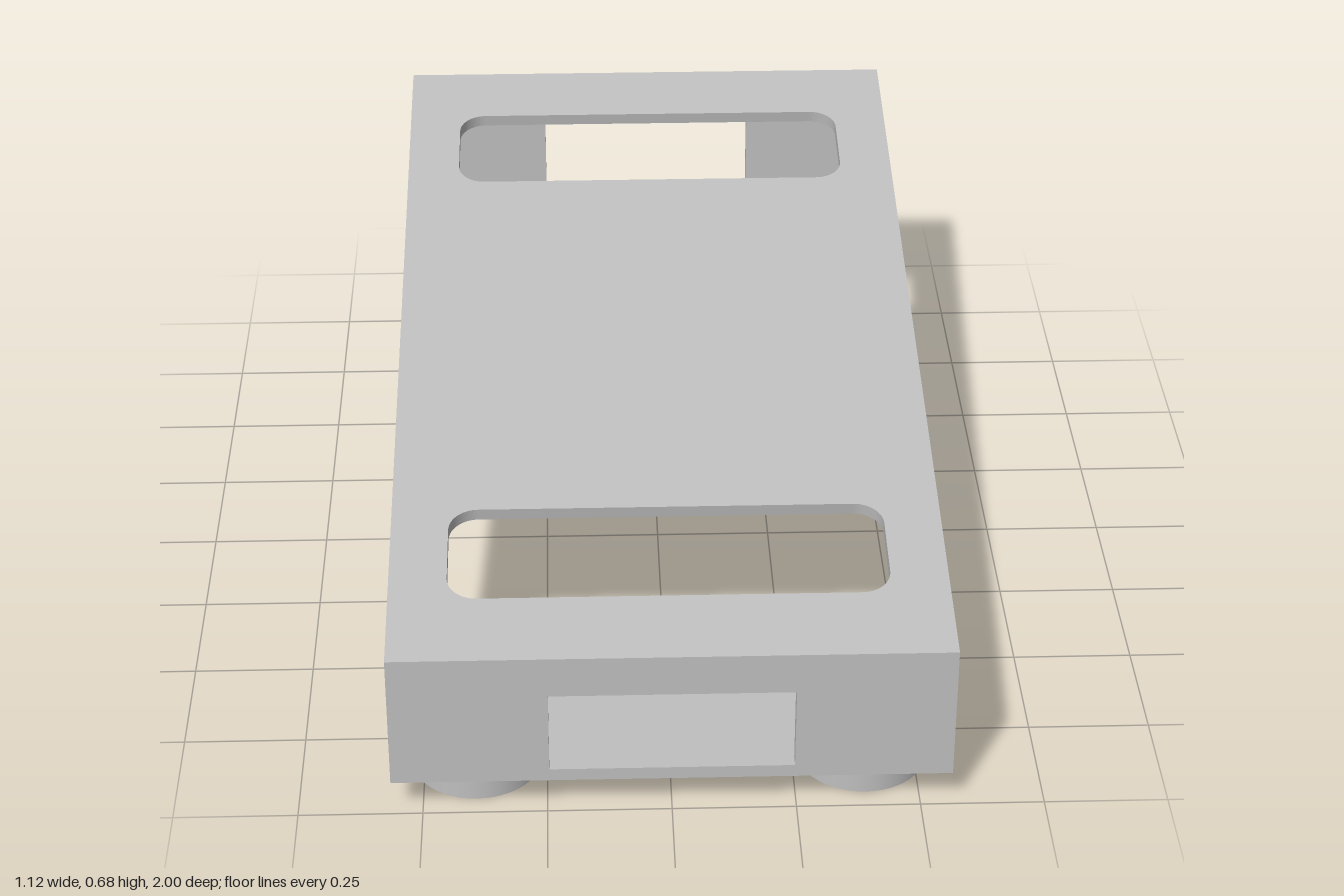
import * as THREE from 'three';

const HALF_W = 0.562;            // half the stand's width
const T = 0.027;                 // sheet thickness
const BASE = 0.077;              // underside of the flanges
const SLOPE = Math.atan(0.311 / 2);
const topAt = (z) => 0.5275 - z * Math.tan(SLOPE);
const underAt = (z) => topAt(z) - T / Math.cos(SLOPE);

function rect(path, x0, y0, x1, y1) {
  return path.moveTo(x0, y0).lineTo(x1, y0).lineTo(x1, y1).lineTo(x0, y1).closePath();
}

function roundedRect(path, x0, y0, x1, y1, r) {
  path.moveTo(x0 + r, y0).lineTo(x1 - r, y0);
  path.absarc(x1 - r, y0 + r, r, -Math.PI / 2, 0);
  path.absarc(x1 - r, y1 - r, r, 0, Math.PI / 2);
  path.absarc(x0 + r, y1 - r, r, Math.PI / 2, Math.PI);
  path.absarc(x0 + r, y0 + r, r, Math.PI, Math.PI * 1.5);
  return path;
}

function extrude(shape) {
  return new THREE.ExtrudeGeometry(shape, { depth: T, bevelEnabled: false, curveSegments: 10 });
}

// Sloping top sheet: slots cut square to the sheet, ends cut vertical
function panelGeometry() {
  const shape = rect(new THREE.Shape(), -HALF_W, -1, HALF_W, 1);
  for (const y of [-0.695, 0.695]) {
    shape.holes.push(roundedRect(new THREE.Path(), -0.445, y - 0.131, 0.445, y + 0.131, 0.06));
  }
  const geo = extrude(shape);
  const p = geo.attributes.position;
  for (let i = 0; i < p.count; i++) {
    const z = -p.getY(i);
    const isTop = p.getZ(i) > T / 2;
    if (isTop) p.setXYZ(i, p.getX(i), topAt(z), z);
    else if (Math.abs(z) > 0.99) p.setXYZ(i, p.getX(i), underAt(z), z);
    else p.setXYZ(i, p.getX(i), topAt(z) - T * Math.cos(SLOPE), z - T * Math.sin(SLOPE));
  }
  geo.computeVertexNormals();
  return geo;
}

// Upright wall with a window, its top edge following the sheet's underside
function wallGeometry(side) {
  const edge = topAt(side);
  const shape = rect(new THREE.Shape(), -HALF_W, BASE, HALF_W, edge);
  shape.holes.push(rect(new THREE.Path(), -0.245, BASE + T, 0.245, edge - 0.089));
  const geo = extrude(shape);
  geo.translate(0, 0, side > 0 ? 1 - T : -1);
  const p = geo.attributes.position;
  for (let i = 0; i < p.count; i++) {
    if (p.getY(i) > edge - 0.01) p.setY(i, underAt(p.getZ(i)));
  }
  geo.computeVertexNormals();
  return geo;
}

export function createModel() {
  const group = new THREE.Group();
  const grey = new THREE.MeshStandardMaterial({ color: 0xbfbfbf });
  grey.name = 'light grey';

  const add = (name, geo, x = 0, y = 0, z = 0) => {
    const mesh = new THREE.Mesh(geo, grey);
    mesh.name = name;
    mesh.position.set(x, y, z);
    group.add(mesh);
  };

  add('topPanel', panelGeometry());

  const flangeDepth = 0.325 - T;
  const flange = new THREE.BoxGeometry(HALF_W * 2, T, flangeDepth);
  const foot = new THREE.CylinderGeometry(0.132, 0.132, BASE, 48);

  for (const side of [1, -1]) {
    const end = side > 0 ? 'front' : 'back';
    add(end + 'Wall', wallGeometry(side));
    // Inward flange carrying two round feet
    add(end + 'Flange', flange, 0, BASE + T / 2, side * (1 - T - flangeDepth / 2));
    for (const x of [1, -1]) {
      add(end + (x > 0 ? 'LeftFoot' : 'RightFoot'), foot, x * 0.393, BASE / 2, side * 0.824);
    }
  }
  return group;
}
